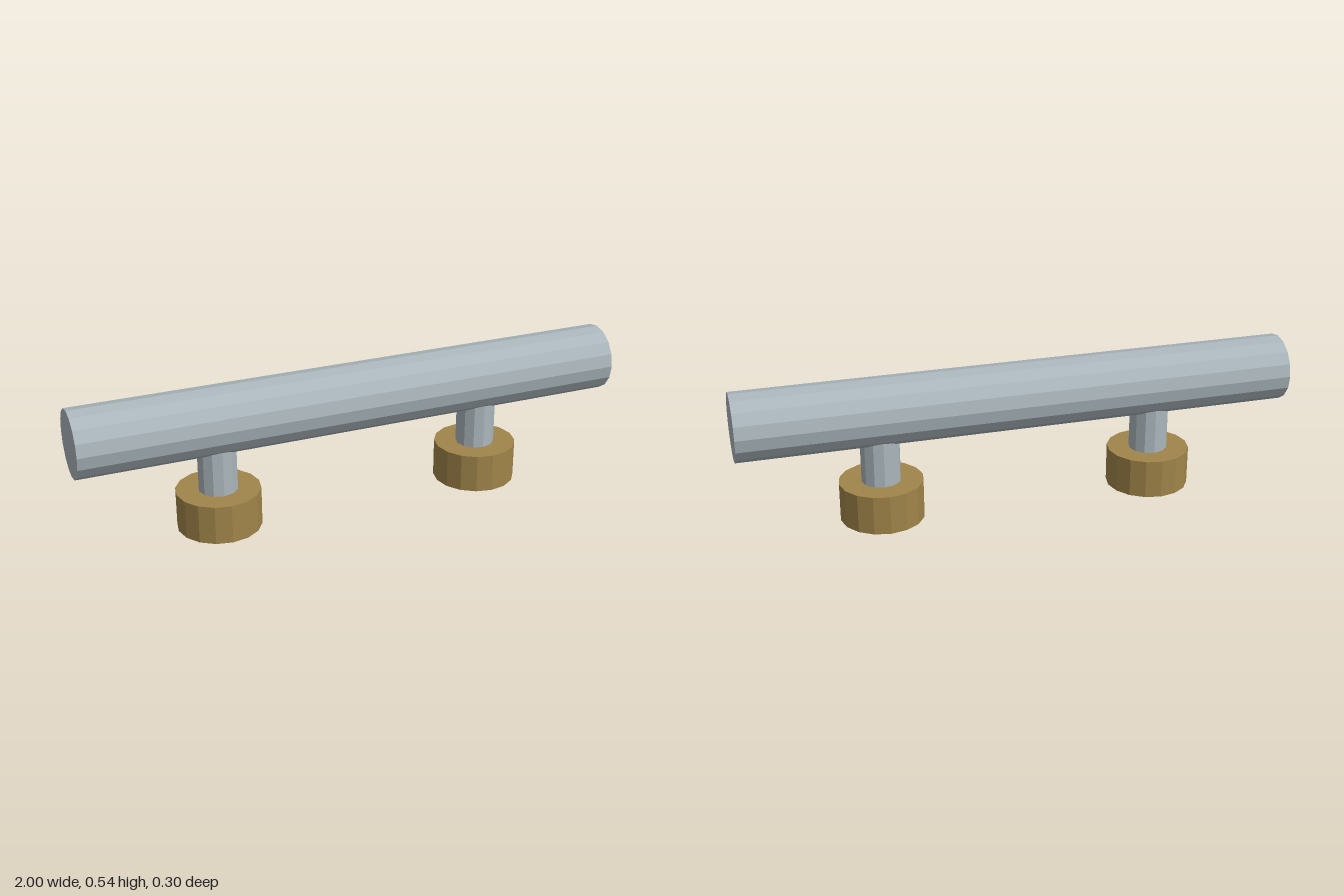
import * as THREE from 'three';

const steel = new THREE.MeshStandardMaterial({ color: 0xaab6bc, flatShading: true });
const brass = new THREE.MeshStandardMaterial({ color: 0xa0844a, flatShading: true });

// Upright cylinder spanning y0..y1
function disc(name, radius, y0, y1, sides, material) {
  const mesh = new THREE.Mesh(new THREE.CylinderGeometry(radius, radius, y1 - y0, sides), material);
  mesh.name = name;
  mesh.position.y = (y0 + y1) / 2;
  return mesh;
}

export function createModel() {
  const model = new THREE.Group();
  model.name = 'barHandle';

  // Horizontal grip bar
  const bar = new THREE.Mesh(new THREE.CylinderGeometry(0.12, 0.12, 2, 16), steel);
  bar.name = 'gripBar';
  bar.rotation.z = Math.PI / 2;
  bar.position.y = 0.415;
  model.add(bar);

  // Two mounts: post, brass collar and screw head below
  for (const side of [-1, 1]) {
    const mount = new THREE.Group();
    mount.name = side > 0 ? 'leftMount' : 'rightMount';
    mount.position.x = side * 0.5;
    mount.add(
      disc('post', 0.07, 0.15, 0.36, 12, steel),
      disc('collar', 0.15, 0.015, 0.155, 16, brass),
      disc('screwHead', 0.064, 0, 0.013, 12, steel)
    );
    model.add(mount);
  }
  return model;
}
